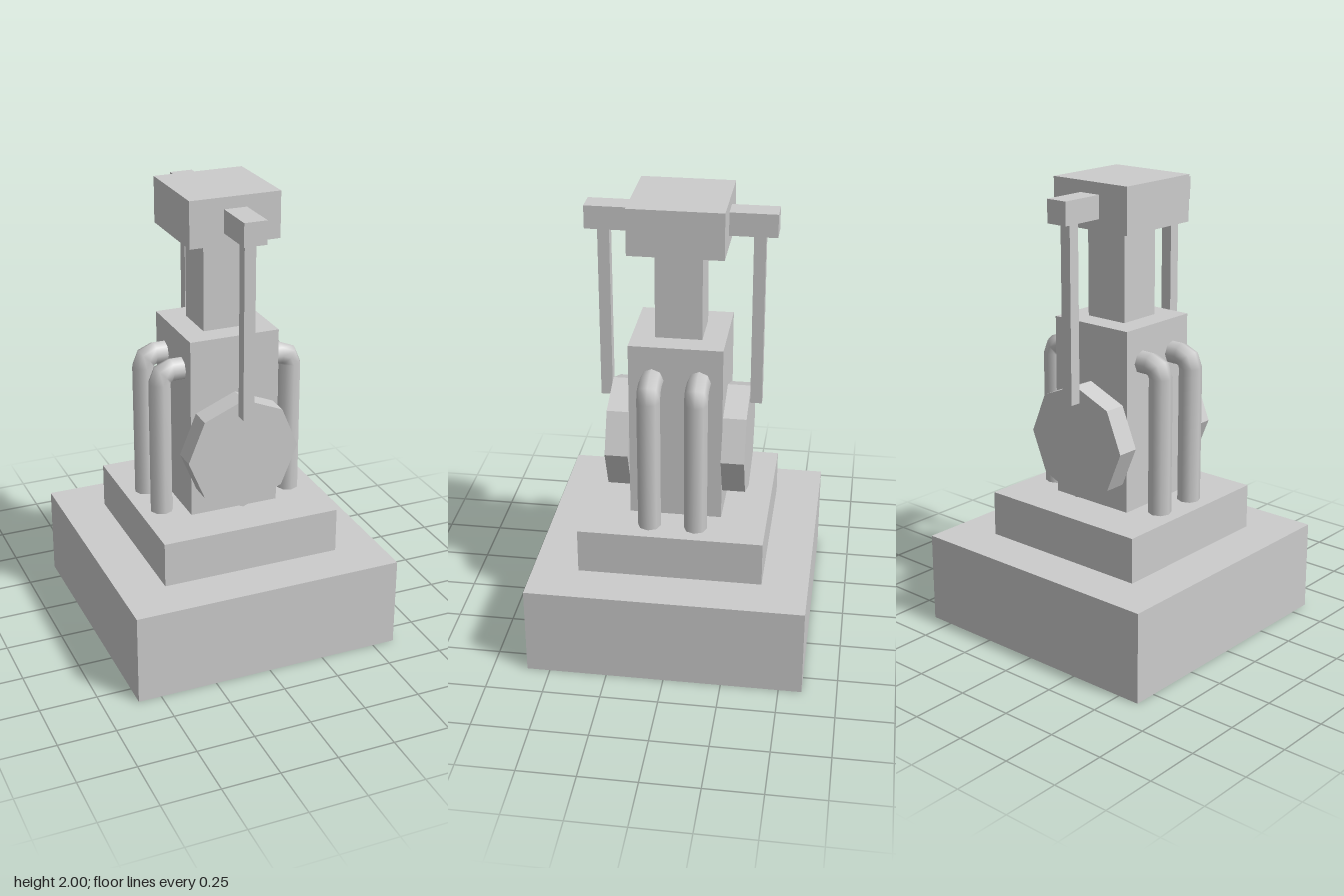
import * as THREE from 'three';

export function createModel() {
  const model = new THREE.Group();
  model.name = 'steamEngine';
  const smooth = new THREE.MeshStandardMaterial({ color: 0xcccccc });
  const flat = new THREE.MeshStandardMaterial({ color: 0xcccccc, flatShading: true });

  function add(parent, name, geometry, material, x, y, z) {
    const mesh = new THREE.Mesh(geometry, material);
    mesh.name = name;
    mesh.position.set(x, y, z);
    parent.add(mesh);
    return mesh;
  }

  // Box given by its size, bottom height and z centre
  function box(name, w, h, d, bottom, z = 0) {
    return add(model, name, new THREE.BoxGeometry(w, h, d), flat, 0, bottom + h / 2, z);
  }

  // Stepped base, body, neck and head
  box('base', 1.2, 0.4, 1.2, 0);
  box('plinth', 0.8, 0.2, 0.8, 0.4);
  box('body', 0.4, 0.8, 0.4, 0.6);
  box('neck', 0.2, 0.4, 0.2, 1.4);
  box('head', 0.4, 0.2, 0.4, 1.8);

  // Octagonal wheel, connecting rod and arm on front and back
  for (const s of [1, -1]) {
    const wheel = new THREE.CylinderGeometry(0.25, 0.25, 0.1, 8).rotateX(Math.PI / 2);
    add(model, 'wheel', wheel, flat, 0, 0.9, s * 0.25);
    box('connectingRod', 0.05, 0.77, 0.05, 1.08, s * 0.325);
    box('arm', 0.1, 0.1, 0.2, 1.85, s * 0.3);
  }

  // Bent pipes: riser, quarter elbow and a short stub into the body
  const r = 0.05, sides = 8;
  const riser = new THREE.CylinderGeometry(r, r, 0.6, sides, 1, true);
  const elbow = new THREE.TorusGeometry(0.05, r, sides, 2, Math.PI / 2);
  const stub = new THREE.CylinderGeometry(r, r, 0.05, sides, 1, true).rotateZ(Math.PI / 2);
  for (const side of [0, Math.PI]) {
    for (const z of [0.1, -0.1]) {
      const pipe = new THREE.Group();
      pipe.name = 'pipe';
      add(pipe, 'pipeRiser', riser, smooth, 0.3, 0.9, z);
      add(pipe, 'pipeElbow', elbow, smooth, 0.25, 1.2, z);
      add(pipe, 'pipeStub', stub, smooth, 0.225, 1.25, z);
      pipe.rotation.y = side;
      model.add(pipe);
    }
  }
  return model;
}
